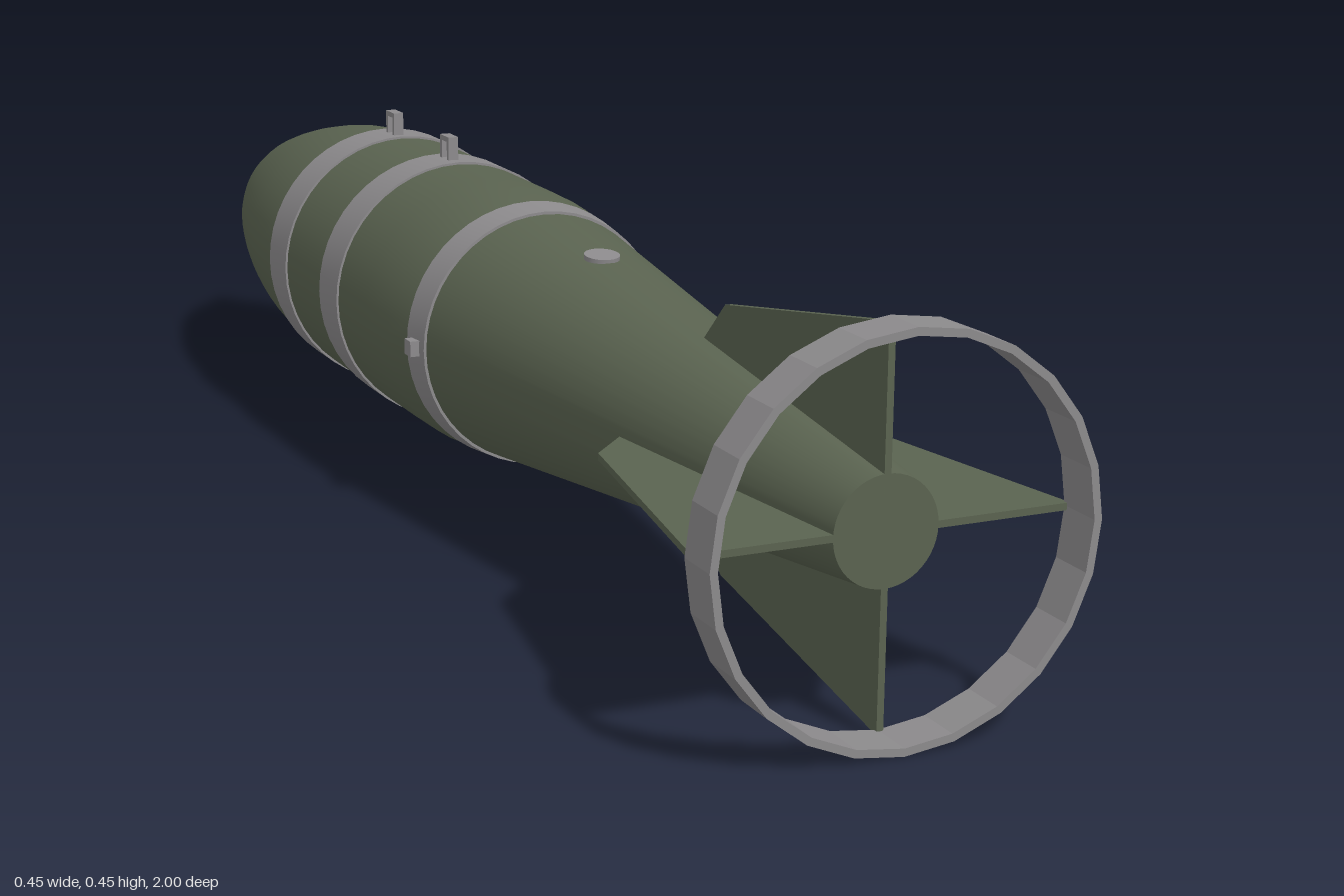
import * as THREE from 'three';
import { toCreasedNormals } from 'three/addons/utils/BufferGeometryUtils.js';

const AXIS_Y = 0.224;

export function createModel() {
  const model = new THREE.Group();
  model.name = 'finnedBomb';
  const olive = new THREE.MeshStandardMaterial({ name: 'olive paint', color: 0x5a6350 });
  const grey = new THREE.MeshStandardMaterial({ name: 'grey metal', color: 0x8c8a8c });

  // Everything is built around the z axis, then lifted onto the ground
  const bomb = new THREE.Group();
  bomb.name = 'bomb';
  bomb.position.y = AXIS_Y;
  model.add(bomb);

  function add(name, geometry, material, parent = bomb) {
    const mesh = new THREE.Mesh(geometry, material);
    mesh.name = name;
    parent.add(mesh);
    return mesh;
  }

  // Revolve [z, radius] pairs, running nose to tail, about the z axis
  function revolve(profile, segments, crease = 0.5) {
    const points = profile.map(([z, r]) => new THREE.Vector2(r, z));
    const geometry = new THREE.LatheGeometry(points, segments).rotateX(Math.PI / 2);
    return toCreasedNormals(geometry, crease);
  }

  // Rectangular-section hoop
  const hoop = (z0, z1, inner, outer0, outer1, segments, crease) =>
    revolve([[z0, inner], [z0, outer0], [z1, outer1], [z1, inner], [z0, inner]], segments, crease);

  // Body: rounded nose, straight middle, long tapering tail
  add('body', revolve([
    [-0.975, 0], [-0.975, 0.02], [-0.955, 0.043], [-0.93, 0.062], [-0.9, 0.08],
    [-0.85, 0.103], [-0.8, 0.121], [-0.75, 0.135], [-0.7, 0.147], [-0.65, 0.157],
    [-0.6, 0.165], [-0.55, 0.17], [-0.5, 0.174], [-0.45, 0.175], [-0.1, 0.175],
    [-0.02, 0.174], [0.03, 0.168], [0.09, 0.161], [0.95, 0.061], [0.95, 0],
  ], 48), olive);

  // Nose fuze
  add('noseFuze', revolve([[-1, 0], [-1, 0.016], [-0.965, 0.016]], 16), grey);

  // Straps around the body
  add('frontStrap', hoop(-0.49, -0.42, 0.165, 0.178, 0.178, 48), grey);
  add('middleStrap', hoop(-0.275, -0.205, 0.165, 0.178, 0.178, 48), grey);
  add('rearStrap', hoop(0.04, 0.086, 0.155, 0.17, 0.165, 48), grey);

  // Suspension lugs: small square arches on the top straps
  for (const z of [-0.45, -0.24]) {
    const lug = new THREE.Group();
    lug.name = 'suspensionLug';
    lug.position.set(0, 0.172, z);
    bomb.add(lug);
    for (const s of [-1, 1]) {
      add('lugPost', new THREE.BoxGeometry(0.014, 0.034, 0.007).translate(0, 0.017, s * 0.0125), grey, lug);
    }
    add('lugBar', new THREE.BoxGeometry(0.014, 0.007, 0.032).translate(0, 0.0335, 0), grey, lug);
  }

  // Side lugs on the rear strap
  for (const s of [-1, 1]) {
    add('sideLug', new THREE.BoxGeometry(0.018, 0.02, 0.02), grey).position.set(s * 0.169, 0, 0.063);
  }

  // Filler cap lying on the tapered tail
  const cap = add('fillerCap', new THREE.CylinderGeometry(0.022, 0.022, 0.008, 20), grey);
  cap.position.set(0, 0.1415, 0.26);
  cap.rotation.x = 0.116;

  // Four tail fins
  const outline = new THREE.Shape([
    [0.53, 0.09], [0.545, 0.108], [0.595, 0.157], [0.95, 0.219], [0.95, 0.03],
  ].map(([z, r]) => new THREE.Vector2(z, r)));
  const finGeometry = new THREE.ExtrudeGeometry(outline, { depth: 0.008, bevelEnabled: false })
    .translate(0, 0, -0.004).rotateY(-Math.PI / 2);
  for (let i = 0; i < 4; i++) {
    add('tailFin', finGeometry, olive).rotation.z = i * Math.PI / 2;
  }

  // Faceted ring joining the fin tips
  add('tailRing', hoop(0.945, 1, 0.215, 0.224, 0.224, 24, 0.1), grey);

  return model;
}
